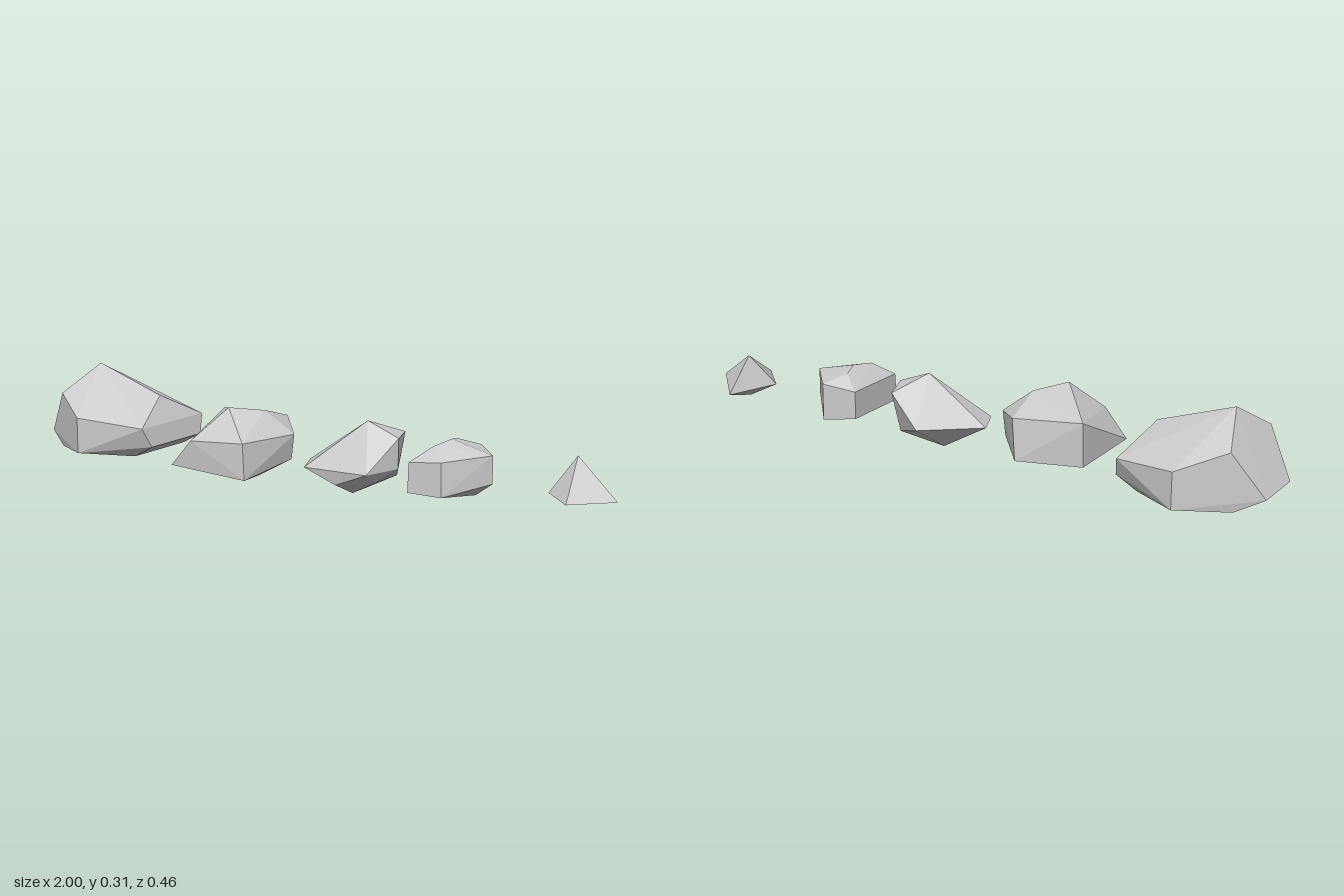
import * as THREE from 'three';
import { ConvexGeometry } from 'three/addons/geometries/ConvexGeometry.js';

const material = new THREE.MeshStandardMaterial({ color: 0xcccccc, flatShading: true });

// A faceted stone: the hull of its corner points.
function stone(name, corners) {
  const mesh = new THREE.Mesh(new ConvexGeometry(corners.map((c) => new THREE.Vector3(...c))), material);
  mesh.name = name;
  return mesh;
}

// Adds the mirror image (z to -z) of each corner.
const mirrored = (corners) => corners.flatMap(([x, y, z]) => (z ? [[x, y, z], [x, y, -z]] : [[x, y, z]]));

export function createModel() {
  const group = new THREE.Group();
  group.name = 'rowOfStones';
  group.add(
    // twelve-sided boulder, the same front and back
    stone('largeBoulder', mirrored([
      [-0.86, 0.315, 0], [-0.615, 0.23, 0],
      [-0.91, 0.23, 0.14], [-0.565, 0.15, 0.16],
      [-0.775, 0.175, 0.228], [-0.775, 0.06, 0.228],
      [-1, 0.088, 0.085], [-0.55, 0.088, 0.13],
      [-0.92, 0.05, 0.13], [-0.62, 0.05, 0.13],
      [-0.87, 0.035, 0], [-0.68, 0.035, 0],
    ])),
    // tilted boulder with a peak towards the front
    stone('mediumBoulder', [
      [-0.255, 0.247, 0.118], [-0.18, 0.232, 0.03], [-0.195, 0.19, -0.12],
      [-0.41, 0.2, -0.075], [-0.41, 0.06, -0.07], [-0.21, 0.06, -0.13],
      [-0.09, 0.16, 0], [-0.1, 0.08, 0],
      [-0.33, 0.15, 0.218], [-0.135, 0.162, 0.216],
      [-0.41, 0.063, 0.21], [-0.125, 0.05, 0.222], [-0.205, 0.02, 0.03],
    ]),
    // wedge stone standing on a point
    stone('wedgeStone', [
      [0.178, 0.233, 0], [0.287, 0.19, 0], [0.245, 0.188, -0.112], [0.285, 0.095, 0],
      [-0.03, 0.09, 0], [0.015, 0.088, 0.105], [0.238, 0.09, 0.108], [0.125, 0.1, -0.157],
      [0.125, 0.045, 0.1], [0.235, 0.055, 0.05], [0.235, 0.055, -0.08], [0.125, 0, 0],
    ]),
    // small stone with a flat left side
    stone('smallStone', [
      [0.468, 0.21, 0], [0.45, 0.2, 0.073], [0.45, 0.2, -0.06],
      [0.605, 0.175, 0], [0.605, 0.09, 0],
      [0.505, 0.166, 0.132], [0.51, 0.064, 0.138], [0.398, 0.155, 0.132], [0.398, 0.065, 0.138],
      [0.5, 0.175, -0.125], [0.5, 0.055, -0.125],
      [0.393, 0.16, -0.1], [0.393, 0.07, -0.1],
      [0.468, 0.035, 0], [0.55, 0.05, 0],
    ]),
    // eight-sided chip
    stone('pebble', [
      [0.847, 0.194, -0.06], [0.847, 0.057, -0.06],
      [0.847, 0.088, -0.167], [1, 0.088, 0], [0.89, 0.088, 0.107], [0.785, 0.088, 0],
    ]),
  );
  return group;
}
